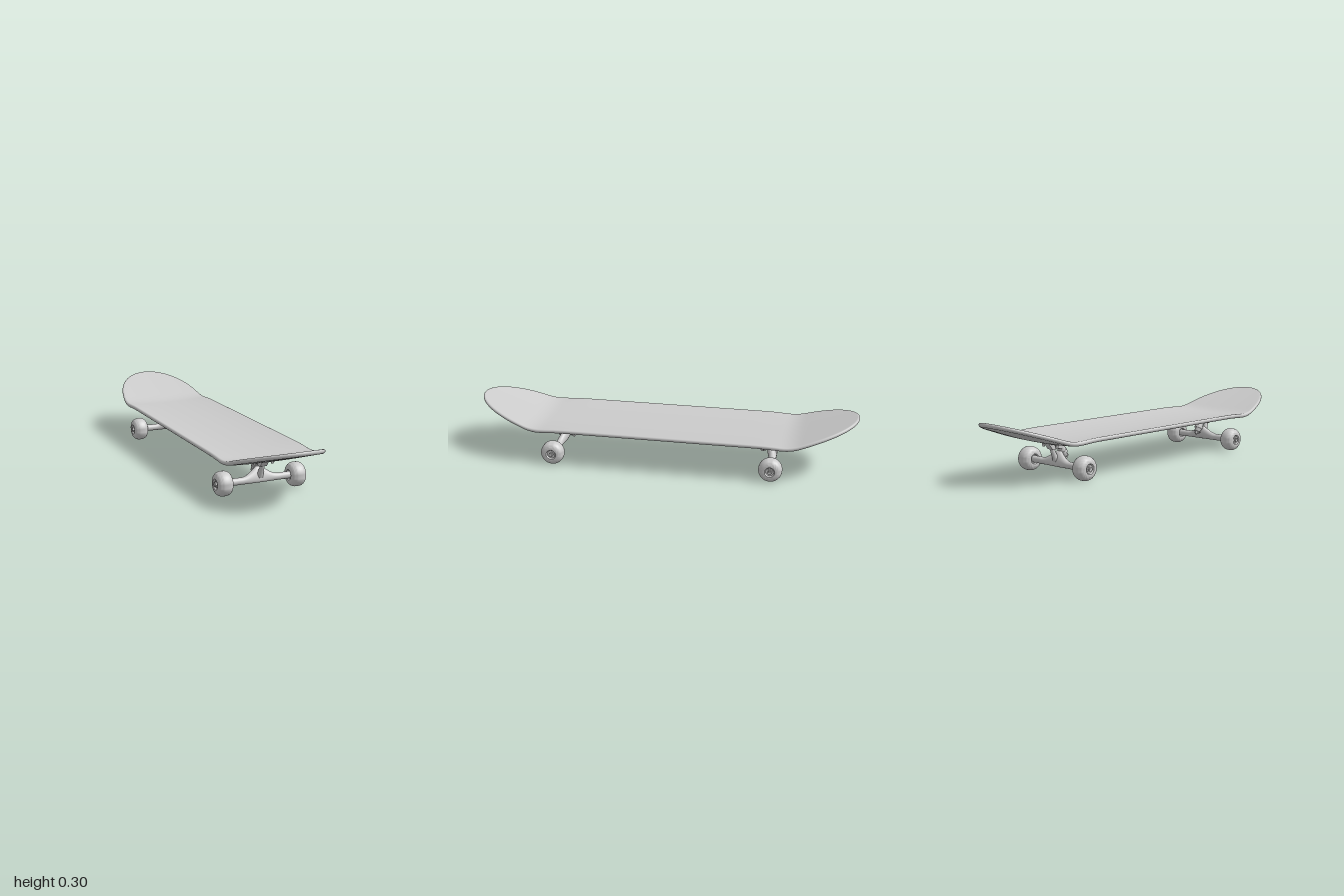
import * as THREE from 'three';
import { mergeVertices, toCreasedNormals } from 'three/addons/utils/BufferGeometryUtils.js';

const AXLE_Y = 0.0615, AXLE_Z = 0.572;
const material = new THREE.MeshStandardMaterial({ color: 0xcccccc });

function addMesh(parent, name, geometry) {
  const mesh = new THREE.Mesh(geometry, material);
  mesh.name = name;
  parent.add(mesh);
  return mesh;
}

// Skin a list of closed rings, each an equal-length list of [x, y, z]
function loft(rings) {
  const n = rings[0].length, index = [];
  for (let k = 0; k < rings.length - 1; k++) {
    for (let j = 0; j < n; j++) {
      const a = k * n + j, b = k * n + (j + 1) % n;
      index.push(a, a + n, b + n, a, b + n, b);
    }
  }
  const g = new THREE.BufferGeometry();
  g.setAttribute('position', new THREE.Float32BufferAttribute(rings.flat(2), 3));
  g.setIndex(index);
  const merged = mergeVertices(g, 1e-5);
  merged.computeVertexNormals();
  return merged;
}

// Cylinder between two points in the truck
function rod(parent, name, from, to, r0, r1 = r0, sides = 24) {
  const a = new THREE.Vector3(...from), b = new THREE.Vector3(...to);
  const dir = b.clone().sub(a);
  const mesh = addMesh(parent, name, new THREE.CylinderGeometry(r1, r0, dir.length(), sides));
  if (sides < 8) mesh.geometry = toCreasedNormals(mesh.geometry, 0.5);
  mesh.position.copy(a).add(b).multiplyScalar(0.5);
  mesh.quaternion.setFromUnitVectors(new THREE.Vector3(0, 1, 0), dir.normalize());
  return mesh;
}

// Deck: rounded outline, raised edges and upturned ends
function deckGeometry() {
  const HALF_W = 0.24, START = 0.6, R = 0.011;
  const stations = [];
  for (let i = -12; i <= 12; i++) stations.push({ z: i * 0.05, w: HALF_W });
  for (let i = 1; i <= 32; i++) {
    const t = Math.sin((i / 32) * Math.PI / 2);
    const w = i === 32 ? 0 : HALF_W * Math.sqrt(1 - Math.pow(t, 2.3));
    const z = START + (1 - START) * t;
    stations.push({ z, w });
    stations.unshift({ z: -z, w });
  }

  // Section: side fraction, inset from the outline, height from mid thickness
  const section = [];
  for (let i = -8; i <= 8; i++) section.push([i / 8, R, R]);
  for (let i = 1; i < 8; i++) {
    const a = (i / 8) * Math.PI;
    section.push([1, R * (1 - Math.sin(a)), R * Math.cos(a)]);
  }
  for (let i = 8; i >= -8; i--) section.push([i / 8, R, -R]);
  for (let i = 7; i > 0; i--) {
    const a = (i / 8) * Math.PI;
    section.push([-1, R * (1 - Math.sin(a)), R * Math.cos(a)]);
  }

  const kick = (z) => {
    const d = Math.abs(z) - 0.62;
    if (d <= 0) return 0;
    return 0.348 * (d < 0.1 ? d * d / 0.2 : d - 0.05);
  };
  const concave = (x, z) => {
    const fade = THREE.MathUtils.smoothstep(Math.abs(z), 0.5, 0.72);
    return (0.017 - 0.009 * fade) * Math.pow(Math.abs(x) / HALF_W, 2.2);
  };
  return loft(stations.map(({ z, w }) => section.map(([s, inset, h]) => {
    const x = s * w * (1 - inset / HALF_W), pz = z * (1 - inset);
    return [x, 0.181 + h + kick(pz) + concave(x, pz), pz];
  })));
}

// Hanger: axle tube that swells up and inward to the kingpin
function hangerGeometry() {
  const rings = [];
  for (let i = -30; i <= 30; i++) {
    const x = i / 30 * 0.165;
    const d = THREE.MathUtils.clamp((Math.abs(x) - 0.012) / 0.085, 0, 1);
    const bump = Math.pow(1 - d, 2) * (1 + 0.6 * d);
    const ring = [];
    for (let j = 0; j < 24; j++) {
      const a = (j / 24) * Math.PI * 2;
      const up = (Math.cos(a) + 1) / 2;
      ring.push([x,
        AXLE_Y + 0.0175 * Math.cos(a) + bump * 0.042 * up * up,
        AXLE_Z - 0.0175 * Math.sin(a) * (1 + 0.35 * bump) - bump * 0.018 * up]);
    }
    rings.push(ring);
  }
  return loft(rings);
}

// Wheel profile along its axle, with a shallow recess on each face
function wheelGeometry() {
  const half = [[0.001, 0.031], [0.021, 0.031], [0.024, 0.034], [0.026, 0.039], [0.034, 0.04],
    [0.041, 0.038], [0.048, 0.034], [0.054, 0.028], [0.058, 0.021], [0.0605, 0.012], [0.0612, 0]];
  const lower = half.map(([r, y]) => new THREE.Vector2(r, -y));
  const upper = half.slice(0, -1).reverse().map(([r, y]) => new THREE.Vector2(r, y));
  return toCreasedNormals(new THREE.LatheGeometry([...lower, ...upper], 40), 0.65);
}

// Mount block under the plate, drawn from the side and given its width
function mountGeometry() {
  const shape = new THREE.Shape();
  [[-0.052, 0.166], [-0.046, 0.146], [-0.022, 0.133], [0.008, 0.14], [0.022, 0.132],
    [0.04, 0.136], [0.064, 0.166]].forEach(([z, y], i) => {
    if (i) shape.lineTo(-z, y); else shape.moveTo(-z, y);
  });
  const g = new THREE.ExtrudeGeometry(shape, { depth: 0.032, bevelEnabled: true,
    bevelSize: 0.002, bevelThickness: 0.002, bevelSegments: 2 });
  g.translate(0, 0, -0.016);
  g.rotateY(Math.PI / 2);
  return g.translate(0, 0, AXLE_Z);
}

// Base plate with rounded corners
function plateGeometry() {
  const w = 0.062, l = 0.082, r = 0.016, s = new THREE.Shape();
  s.absarc(w - r, l - r, r, 0, Math.PI / 2);
  s.absarc(r - w, l - r, r, Math.PI / 2, Math.PI);
  s.absarc(r - w, r - l, r, Math.PI, Math.PI * 1.5);
  s.absarc(w - r, r - l, r, Math.PI * 1.5, Math.PI * 2);
  const g = new THREE.ExtrudeGeometry(s, { depth: 0.009, bevelEnabled: false, curveSegments: 6 });
  return g.rotateX(-Math.PI / 2).translate(0, 0.163, 0.55);
}

function createTruck(name) {
  const truck = new THREE.Group();
  truck.name = name;
  addMesh(truck, 'basePlate', plateGeometry());
  addMesh(truck, 'mountBlock', mountGeometry());
  addMesh(truck, 'hanger', hangerGeometry());

  // Mounting bolts with nuts
  for (const x of [-0.047, 0.047]) {
    for (const z of [0.487, 0.613]) {
      rod(truck, 'mountingNut', [x, 0.164, z], [x, 0.15, z], 0.009, 0.009, 6);
      rod(truck, 'mountingBolt', [x, 0.164, z], [x, 0.144, z], 0.006, 0.006, 16);
    }
  }

  // Tilted kingpin stack: bushings, washers and nut
  const top = new THREE.Vector3(0, 0.148, 0.55), end = new THREE.Vector3(0, 0.076, 0.507);
  const at = (t) => top.clone().lerp(end, t).toArray();
  rod(truck, 'kingpin', at(0), at(1), 0.006);
  rod(truck, 'upperBushing', at(0.08), at(0.42), 0.019, 0.021);
  rod(truck, 'hangerRing', at(0.38), at(0.56), 0.023);
  rod(truck, 'lowerBushing', at(0.55), at(0.77), 0.02, 0.015);
  rod(truck, 'washer', at(0.77), at(0.81), 0.019);
  rod(truck, 'kingpinNut', at(0.81), at(0.95), 0.011, 0.011, 6);

  // Pivot reaching up into the mount
  rod(truck, 'pivot', [0, 0.075, 0.575], [0, 0.145, 0.605], 0.016, 0.01);

  // Axle, wheels, bearings and axle nuts
  rod(truck, 'axle', [-0.24, AXLE_Y, AXLE_Z], [0.24, AXLE_Y, AXLE_Z], 0.007);
  for (const s of [-1, 1]) {
    const wheel = addMesh(truck, s > 0 ? 'leftWheel' : 'rightWheel', wheelGeometry());
    wheel.position.set(s * 0.196, AXLE_Y, AXLE_Z);
    wheel.rotation.z = -s * Math.PI / 2;
    rod(truck, 'bearing', [s * 0.222, AXLE_Y, AXLE_Z], [s * 0.23, AXLE_Y, AXLE_Z], 0.017);
    rod(truck, 'axleNut', [s * 0.228, AXLE_Y, AXLE_Z], [s * 0.238, AXLE_Y, AXLE_Z], 0.012, 0.012, 6);
  }
  return truck;
}

export function createModel() {
  const board = new THREE.Group();
  board.name = 'skateboard';
  addMesh(board, 'deck', deckGeometry());
  const front = createTruck('frontTruck');
  const back = createTruck('backTruck');
  back.rotation.y = Math.PI;
  board.add(front, back);
  return board;
}
